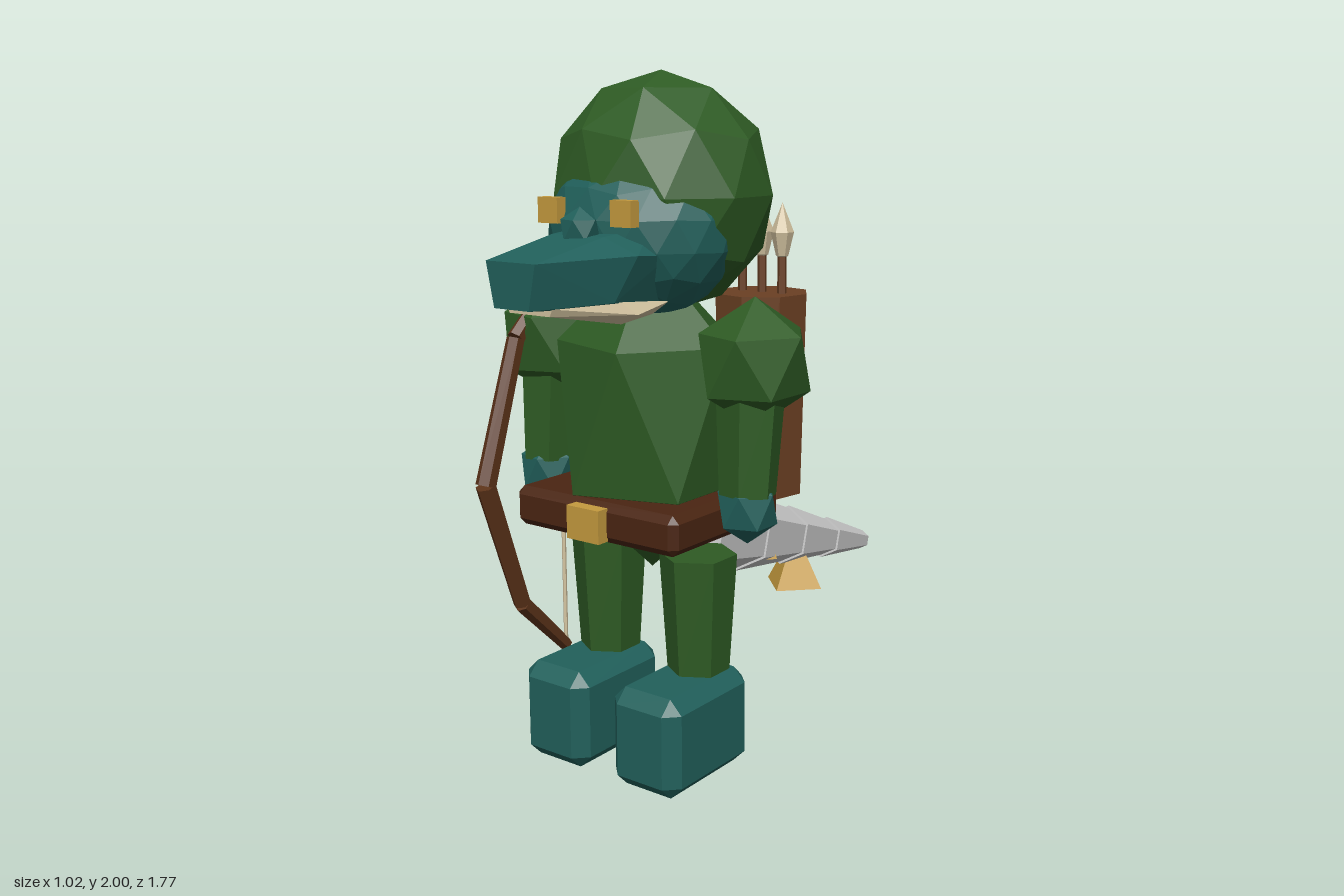
import * as THREE from 'three';
import { ConvexGeometry } from 'three/addons/geometries/ConvexGeometry.js';

const V = (x, y, z) => new THREE.Vector3(x, y, z);

function makeMaterials() {
  const colours = {
    forestGreen: 0x2e5b24, tealSkin: 0x21605b, gold: 0xc49a3e, beltBrown: 0x4a2512,
    quiverBrown: 0x6b4023, bowBrown: 0x5c3319, tailGrey: 0xc8c8c8, cream: 0xd3c3a0,
  };
  const mats = {};
  for (const [name, color] of Object.entries(colours)) {
    mats[name] = new THREE.MeshStandardMaterial({ color, flatShading: true });
    mats[name].name = name;
  }
  return mats;
}

// Faceted ball with a vertex at each pole
function ball(rx, ry, rz, detail = 0) {
  return new THREE.IcosahedronGeometry(1, detail).rotateZ(-0.5536).scale(rx, ry, rz);
}

// Box with every edge cut off
function chamferBox(w, h, d, b) {
  const pts = [];
  for (const sx of [-1, 1]) for (const sy of [-1, 1]) for (const sz of [-1, 1]) {
    const [x, y, z] = [w / 2, h / 2, d / 2];
    pts.push(V(sx * x, sy * (y - b), sz * (z - b)),
      V(sx * (x - b), sy * y, sz * (z - b)),
      V(sx * (x - b), sy * (y - b), sz * z));
  }
  return new ConvexGeometry(pts);
}

// Hull through mirrored points [halfWidth, y, z]
function mirroredHull(points) {
  return new ConvexGeometry(points.flatMap(([x, y, z]) => [V(x, y, z), V(-x, y, z)]));
}

// Tapered rod from a to b
function rod(a, b, ra, rb, sides) {
  const dir = b.clone().sub(a);
  const geo = new THREE.CylinderGeometry(rb, ra, dir.length(), sides);
  const q = new THREE.Quaternion().setFromUnitVectors(V(0, 1, 0), dir.normalize());
  const mid = a.clone().add(b).multiplyScalar(0.5);
  return geo.applyQuaternion(q).translate(mid.x, mid.y, mid.z);
}

export function createModel() {
  const m = makeMaterials();
  const model = new THREE.Group();
  model.name = 'archer';
  const add = (name, geo, mat, x = 0, y = 0, z = 0) => {
    const mesh = new THREE.Mesh(geo, mat);
    mesh.name = name;
    mesh.position.set(x, y, z);
    model.add(mesh);
    return mesh;
  };

  // Head: hood, face and long snout
  add('hood', ball(0.333, 0.34, 0.293, 1), m.forestGreen, 0, 1.66, 0.27);
  add('face', ball(0.288, 0.245, 0.232, 2), m.tealSkin, 0, 1.56, 0.365);
  add('snout', mirroredHull([
    [0.1, 1.58, 0.45], [0.19, 1.51, 0.48], [0.14, 1.37, 0.46],
    [0.09, 1.565, 0.63], [0.19, 1.52, 0.61], [0.15, 1.4, 0.66],
    [0.085, 1.515, 0.885], [0.06, 1.395, 0.885],
  ]), m.tealSkin);
  add('lowerJaw', mirroredHull([
    [0.17, 1.385, 0.46], [0.18, 1.365, 0.6], [0.12, 1.335, 0.6],
    [0.13, 1.35, 0.48], [0.08, 1.395, 0.82], [0.07, 1.375, 0.82], [0.15, 1.4, 0.64],
  ]), m.cream);
  add('nose', ball(0.06, 0.06, 0.055), m.tealSkin, 0, 1.58, 0.62);

  // Torso and belt
  add('torso', ball(0.3, 0.466, 0.294), m.forestGreen, 0, 1.04, 0.33);
  add('belt', chamferBox(0.585, 0.115, 0.505, 0.022), m.beltBrown, 0, 0.773, 0.347);
  add('buckle', new THREE.BoxGeometry(0.115, 0.095, 0.04), m.gold, 0, 0.772, 0.615);

  // Eyes and limbs on both sides
  for (const s of [-1, 1]) {
    const side = s > 0 ? 'left' : 'right';
    add(side + 'Eye', new THREE.BoxGeometry(0.07, 0.07, 0.034), m.gold, s * 0.128, 1.625, 0.59);
    add(side + 'Shoulder', ball(0.165, 0.18, 0.182), m.forestGreen, s * 0.363, 1.22, 0.33);
    add(side + 'Arm', rod(V(s * 0.366, 1.2, 0.35), V(s * 0.369, 0.86, 0.37), 0.1, 0.08, 6), m.forestGreen);
    add(side + 'Hand', ball(0.092, 0.103, 0.092), m.tealSkin, s * 0.369, 0.823, 0.37);
    add(side + 'Leg', rod(V(s * 0.168, 0.645, 0.33), V(s * 0.168, 0.28, 0.33), 0.113, 0.09, 6), m.forestGreen);
    add(side + 'Boot', chamferBox(0.24, 0.295, 0.38, 0.04), m.tealSkin, s * 0.168, 0.15, 0.415);
  }

  // Tail: four stepped hexagonal segments
  const root = V(0, 0.645, 0.16), tip = V(0, 0.355, -0.88);
  const cuts = [0, 0.265, 0.51, 0.75, 1];
  const radii = [0.148, 0.122, 0.095, 0.067, 0.033];
  for (let i = 0; i < 4; i++) {
    add('tailSegment', rod(root.clone().lerp(tip, cuts[i]), root.clone().lerp(tip, cuts[i + 1]),
      radii[i] + (i ? 0.004 : 0), radii[i + 1] - (i < 3 ? 0.004 : 0), 6), m.tailGrey);
  }
  // Four-sided tail spikes [base height, z, height]
  for (const [y, z, h] of [[0.66, 0.1, 0.28], [0.485, -0.168, 0.285], [0.31, -0.436, 0.19]]) {
    add('tailSpike', new THREE.ConeGeometry(0.108, h, 4), m.gold, 0, y + h / 2, z);
  }

  // Quiver with three arrows
  add('quiver', new THREE.CylinderGeometry(0.143, 0.13, 0.6, 8).rotateY(0.2), m.quiverBrown, 0.167, 1.067, 0.017);
  const headProfile = [[0, 0], [0.018, 0.012], [0.034, 0.08], [0, 0.165]].map(([x, y]) => new THREE.Vector2(x, y));
  for (const x of [0.1, 0.17, 0.24]) {
    add('arrowShaft', new THREE.CylinderGeometry(0.014, 0.014, 0.2, 5), m.quiverBrown, x, 1.4, 0.017);
    add('arrowHead', new THREE.LatheGeometry(headProfile, 6), m.cream, x, 1.465, 0.017);
  }

  // Bow and string beside the right arm
  const bow = [[1.42, 0.315], [1.24, 0.5], [0.825, 0.64], [0.43, 0.505], [0.24, 0.315]]
    .map(([y, z]) => V(-0.366, y, z));
  const thickness = [0.021, 0.027, 0.031, 0.027, 0.021];
  for (let i = 0; i < 4; i++) {
    add('bowLimb', rod(bow[i], bow[i + 1], thickness[i], thickness[i + 1], 6), m.bowBrown);
  }
  add('bowString', rod(bow[0], bow[4], 0.007, 0.007, 5), m.cream);

  return model;
}
